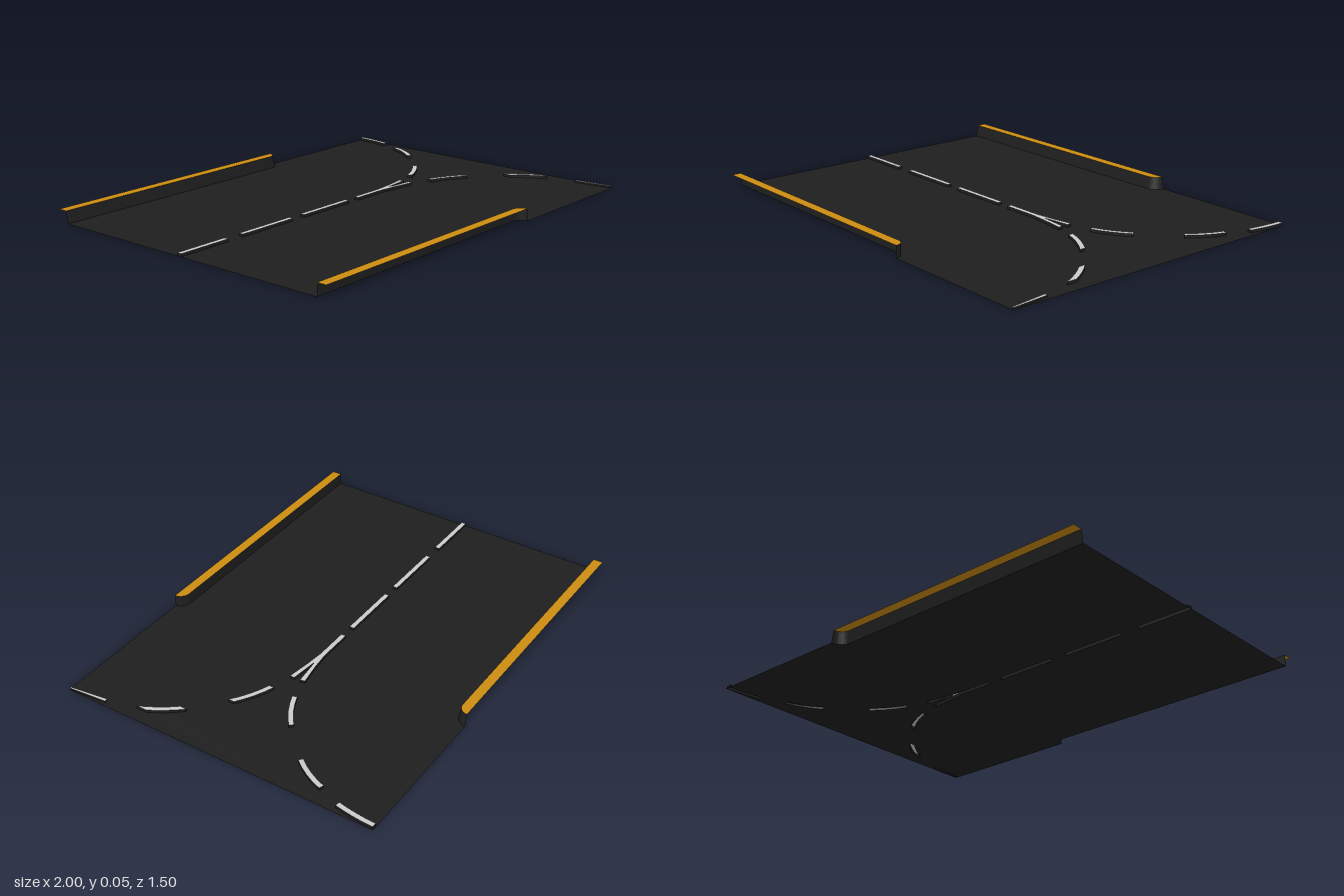
import * as THREE from 'three';

const CURB_TOP = 0.055, DASH_TOP = 0.013;
const mat = (color) => new THREE.MeshStandardMaterial({ color, side: THREE.DoubleSide });
const asphalt = mat(0x1f1f1f), paint = mat(0xcccccc), curbPaint = mat(0xcc8c12);

// Plan points are [x, z]; shapes are drawn with y = -z, then laid flat.
const toShapePts = (pts) => pts.map(([x, z]) => new THREE.Vector2(x, -z));

function flatMesh(shape, y, material, name) {
  const geo = new THREE.ShapeGeometry(shape).rotateX(-Math.PI / 2).translate(0, y, 0);
  const mesh = new THREE.Mesh(geo, material);
  mesh.name = name;
  return mesh;
}

// Upright ribbon between a lower and an upper plan path
function wallMesh(lower, upper, y, name) {
  const pos = [];
  for (let i = 0; i < lower.length - 1; i++) {
    const [a, b, c, d] = [lower[i], lower[i + 1], upper[i + 1], upper[i]];
    for (const [p, h] of [[a, 0], [b, 0], [c, y], [a, 0], [c, y], [d, y]]) pos.push(p[0], h, p[1]);
  }
  const geo = new THREE.BufferGeometry();
  geo.setAttribute('position', new THREE.Float32BufferAttribute(pos, 3));
  geo.computeVertexNormals();
  const mesh = new THREE.Mesh(geo, asphalt);
  mesh.name = name;
  return mesh;
}

// Inner edge of a curb with its rounded end; grow pushes it outward
function curbPath(side, grow) {
  const r = 0.045, pts = [[-1, side * (0.706 - grow)]];
  for (let i = 0; i <= 8; i++) {
    const a = (i / 8) * Math.PI / 2;
    pts.push([0.245 + (r + grow) * Math.sin(a), side * (0.751 - (r + grow) * Math.cos(a))]);
  }
  return pts;
}

// Strip along a gently bowed line from a to b; upright cuts the ends at constant x
function dash(a, m, b, width, upright) {
  const curve = new THREE.QuadraticBezierCurve(
    new THREE.Vector2(...a),
    new THREE.Vector2(2 * m[0] - (a[0] + b[0]) / 2, 2 * m[1] - (a[1] + b[1]) / 2),
    new THREE.Vector2(...b));
  const near = [], far = [];
  for (let i = 0; i <= 4; i++) {
    const p = curve.getPoint(i / 4), t = curve.getTangent(i / 4);
    const n = upright ? [0, width / 2 / Math.abs(t.x)] : [-t.y * width / 2, t.x * width / 2];
    near.push([p.x + n[0], p.y + n[1]]);
    far.unshift([p.x - n[0], p.y - n[1]]);
  }
  return [...near, ...far];
}

export function createModel() {
  const model = new THREE.Group();
  model.name = 'roadSection';

  // Plan outlines of the lane markings
  const w = 0.022;
  const bar = (x0, x1) => [[x0, -0.004], [x1, -0.004], [x1, -0.026], [x0, -0.026]];
  const markings = {
    centreDash1: bar(-0.999, -0.74),
    centreDash2: bar(-0.655, -0.355),
    centreDash3: bar(-0.285, 0.01),
    forkDash: [[0.075, -0.004], [0.24, -0.004], [0.33, 0.005], [0.435, 0.02], [0.435, -0.002],
      [0.3, -0.016], [0.435, -0.031], [0.43, -0.053], [0.33, -0.036], [0.24, -0.026], [0.075, -0.026]],
    backDash1: dash([0.535, -0.074], [0.618, -0.113], [0.69, -0.165], w),
    backDash2: dash([0.837, -0.313], [0.887, -0.386], [0.922, -0.468], w),
    backDash3: dash([0.965, -0.57], [0.979, -0.655], [0.985, -0.747], w),
    frontDash1: dash([0.535, 0.044], [0.622, 0.081], [0.7, 0.131], w, true),
    frontDash2: dash([0.843, 0.268], [0.894, 0.334], [0.938, 0.41], w, true),
    frontDash3: [[0.967, 0.57], [0.983, 0.57], [0.998, 0.748], [0.99, 0.748]],
  };

  // Only the back curb leans a little
  const lean = { '1': 0, '-1': 0.01 };

  // Road surface, following the curbs and open beneath the markings
  const outline = [...curbPath(1, lean['1']), [1, 0.751], [1, -0.751], ...curbPath(-1, lean['-1']).reverse()];
  const road = new THREE.Shape(toShapePts(outline));
  for (const pts of Object.values(markings)) road.holes.push(new THREE.Path(toShapePts(pts)));
  model.add(flatMesh(road, 0, asphalt, 'roadSurface'));

  // Raised lane markings
  for (const [name, pts] of Object.entries(markings)) {
    const y = name === 'frontDash3' ? 0.008 : DASH_TOP;
    const group = new THREE.Group();
    group.name = name;
    const loop = [...pts, pts[0]];
    group.add(flatMesh(new THREE.Shape(toShapePts(pts)), y, paint, name + 'Top'));
    group.add(wallMesh(loop, loop, y, name + 'Sides'));
    model.add(group);
  }

  // Curbs: painted top and dark inner wall, open on the outside
  for (const side of [1, -1]) {
    const name = side > 0 ? 'frontCurb' : 'backCurb';
    const group = new THREE.Group();
    group.name = name;
    const upper = curbPath(side, 0);
    const top = new THREE.Shape(toShapePts([...upper, [-1, side * 0.751]]));
    group.add(flatMesh(top, CURB_TOP, curbPaint, name + 'Top'));
    group.add(wallMesh(curbPath(side, lean[side]), upper, CURB_TOP, name + 'Wall'));
    model.add(group);
  }
  return model;
}
